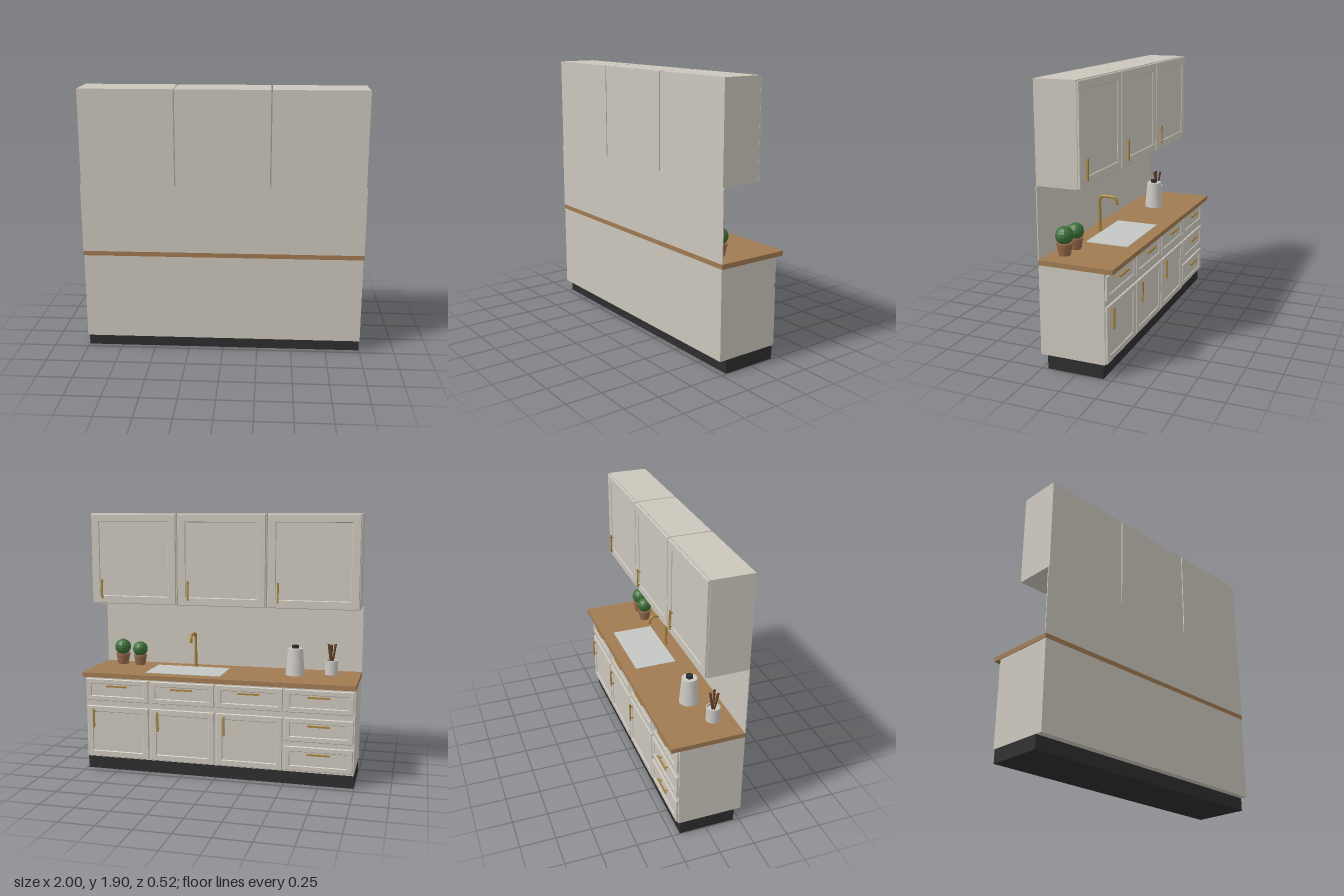
import * as THREE from 'three';

const mat = (name, color) => {
  const m = new THREE.MeshStandardMaterial({ color });
  m.name = name;
  return m;
};

export function createModel() {
  const paint = mat('cabinet paint', 0xcbc6bc);
  const wood = mat('worktop wood', 0xa07a52);
  const dark = mat('plinth black', 0x2d2d2e);
  const brass = mat('brass', 0xa8843c);
  const steel = mat('sink steel', 0xc3c6c3);
  const ceramic = mat('ceramic', 0xccc9c4);
  const clay = mat('terracotta', 0x93694a);
  const leaf = mat('foliage', 0x3c6e38);
  const spoon = mat('utensil brown', 0x5e4026);

  const model = new THREE.Group();
  model.name = 'kitchenUnit';

  const add = (name, geo, material, x = 0, y = 0, z = 0, parent = model) => {
    const mesh = new THREE.Mesh(geo, material);
    mesh.name = name;
    mesh.position.set(x, y, z);
    parent.add(mesh);
    return mesh;
  };
  // Box given by its limits on each axis
  const box = (name, material, x0, x1, y0, y1, z0, z1, parent) =>
    add(name, new THREE.BoxGeometry(x1 - x0, y1 - y0, z1 - z0), material,
      (x0 + x1) / 2, (y0 + y1) / 2, (z0 + z1) / 2, parent);

  const rect = (Type, w, h) => {
    const p = new Type();
    p.moveTo(-w / 2, -h / 2);
    p.lineTo(w / 2, -h / 2);
    p.lineTo(w / 2, h / 2);
    p.lineTo(-w / 2, h / 2);
    p.closePath();
    return p;
  };

  // Framed door or drawer front with a recessed panel, facing -z
  const B = 0.004;
  function front(name, x0, x1, y0, y1, zBack, rim) {
    const g = new THREE.Group();
    g.name = name;
    model.add(g);
    const w = x1 - x0, h = y1 - y0;
    const shape = rect(THREE.Shape, w - 2 * B, h - 2 * B);
    shape.holes.push(rect(THREE.Path, w - 2 * rim + 2 * B, h - 2 * rim + 2 * B));
    const geo = new THREE.ExtrudeGeometry(shape, {
      depth: 0.01, bevelEnabled: true, bevelSize: B, bevelThickness: B, bevelSegments: 1,
    });
    geo.rotateY(Math.PI);
    add('frame', geo, paint, (x0 + x1) / 2, (y0 + y1) / 2, zBack - B, g);
    box('panel', paint, x0 + rim - B, x1 - rim + B, y0 + rim - B, y1 - rim + B,
      zBack - 0.01, zBack, g);
    return g;
  }

  // Bar handle on two short posts
  function handle(x, y, zFace, length, vertical) {
    const g = new THREE.Group();
    g.name = 'handle';
    g.position.set(x, y, zFace);
    if (!vertical) g.rotation.z = Math.PI / 2;
    model.add(g);
    add('bar', new THREE.BoxGeometry(0.012, length, 0.01), brass, 0, 0, -0.015, g);
    for (const s of [-1, 1])
      add('post', new THREE.BoxGeometry(0.008, 0.008, 0.024), brass, 0, s * length * 0.36, -0.002, g);
  }

  // Base unit
  box('plinth', dark, -0.995, 0.995, 0, 0.095, -0.19, 0.21);
  box('baseCabinet', paint, -0.995, 0.995, 0.095, 0.715, -0.2, 0.26);
  box('worktop', wood, -1, 1, 0.715, 0.748, -0.26, 0.26);
  box('backsplash', paint, -1, 1, 0.748, 1.235, 0.253, 0.26);

  // Four base columns: three with a drawer over a door, one with three drawers
  for (let i = 0; i < 4; i++) {
    const x0 = -0.995 + i * 0.4975 + 0.008, x1 = x0 + 0.4815, xc = (x0 + x1) / 2;
    const drawers = i === 0 ? [[0.53, 0.695], [0.32, 0.49], [0.108, 0.285]] : [[0.53, 0.695]];
    for (const [y0, y1] of drawers) {
      front('drawerFront', x0, x1, y0, y1, -0.2, 0.038);
      handle(xc, y1 - 0.05, -0.216, 0.16, false);
    }
    if (i > 0) {
      front('baseDoor', x0, x1, 0.102, 0.49, -0.2, 0.045);
      handle(x1 - 0.06, 0.4, -0.222, 0.145, true);
    }
  }

  // Three wall cabinets
  for (let i = -1; i <= 1; i++) {
    const xc = i * 0.665, x0 = xc - 0.328, x1 = xc + 0.328;
    box('wallCabinet', paint, x0, x1, 1.235, 1.905, -0.028, 0.26);
    front('wallDoor', x0 + 0.003, x1 - 0.003, 1.239, 1.901, -0.028, 0.06);
    handle(xc + 0.246, 1.348, -0.044, 0.145, true);
  }

  // Sink and tap
  box('sink', steel, -0.025, 0.54, 0.745, 0.752, -0.17, 0.14);
  const tapPath = new THREE.CurvePath();
  const V = (y, z) => new THREE.Vector3(0, y, z);
  tapPath.add(new THREE.LineCurve3(V(0.748, 0.165), V(0.965, 0.165)));
  tapPath.add(new THREE.QuadraticBezierCurve3(V(0.965, 0.165), V(1.007, 0.165), V(1.007, 0.125)));
  tapPath.add(new THREE.LineCurve3(V(1.007, 0.125), V(1.007, 0.072)));
  tapPath.add(new THREE.QuadraticBezierCurve3(V(1.007, 0.072), V(1.007, 0.032), V(0.955, 0.032)));
  add('tap', new THREE.TubeGeometry(tapPath, 60, 0.011, 12), brass, 0.25);
  add('tapTip', new THREE.CylinderGeometry(0.011, 0.011, 0.006, 12), brass, 0.25, 0.954, 0.032);
  add('tapBase', new THREE.CylinderGeometry(0.016, 0.016, 0.012, 16), brass, 0.25, 0.754, 0.165);

  // Potted plants
  const ball = new THREE.SphereGeometry(0.061, 14, 10).toNonIndexed();
  ball.computeVertexNormals();
  for (const [x, z, s] of [[0.835, 0.152, 1], [0.69, 0.142, 0.93]]) {
    const g = new THREE.Group();
    g.name = 'pottedPlant';
    g.position.set(x, 0.748, z);
    g.scale.setScalar(s);
    model.add(g);
    add('pot', new THREE.CylinderGeometry(0.052, 0.04, 0.07, 20), clay, 0, 0.035, 0, g);
    add('potRim', new THREE.CylinderGeometry(0.055, 0.055, 0.016, 20), clay, 0, 0.076, 0, g);
    add('foliage', ball, leaf, 0, 0.132, 0, g);
  }

  // Kettle
  add('kettle', new THREE.CylinderGeometry(0.054, 0.07, 0.194, 28), ceramic, -0.535, 0.845, 0.045);
  add('kettleLid', new THREE.CylinderGeometry(0.024, 0.024, 0.022, 18), dark, -0.535, 0.953, 0.045);

  // Utensil jar: outer wall, rim and inside in one profile
  const jar = [[0, 0], [0.048, 0], [0.048, 0.105], [0.042, 0.105], [0.042, 0.085], [0, 0.085]]
    .map(([r, y]) => new THREE.Vector2(r, y));
  const jarGeo = new THREE.LatheGeometry(jar, 24).toNonIndexed();
  jarGeo.computeVertexNormals();
  add('utensilJar', jarGeo, ceramic, -0.79, 0.748, 0.115);
  for (const [dx, dz, tx, tz] of [[-0.016, 0.012, 0.12, 0.12], [0.016, 0.008, 0.1, -0.12], [0, -0.016, -0.15, 0.02]]) {
    const u = add('utensil', new THREE.CylinderGeometry(0.009, 0.006, 0.14, 8), spoon,
      -0.79 + dx, 0.9, 0.115 + dz);
    u.rotation.set(tx, 0, tz);
  }

  return model;
}
